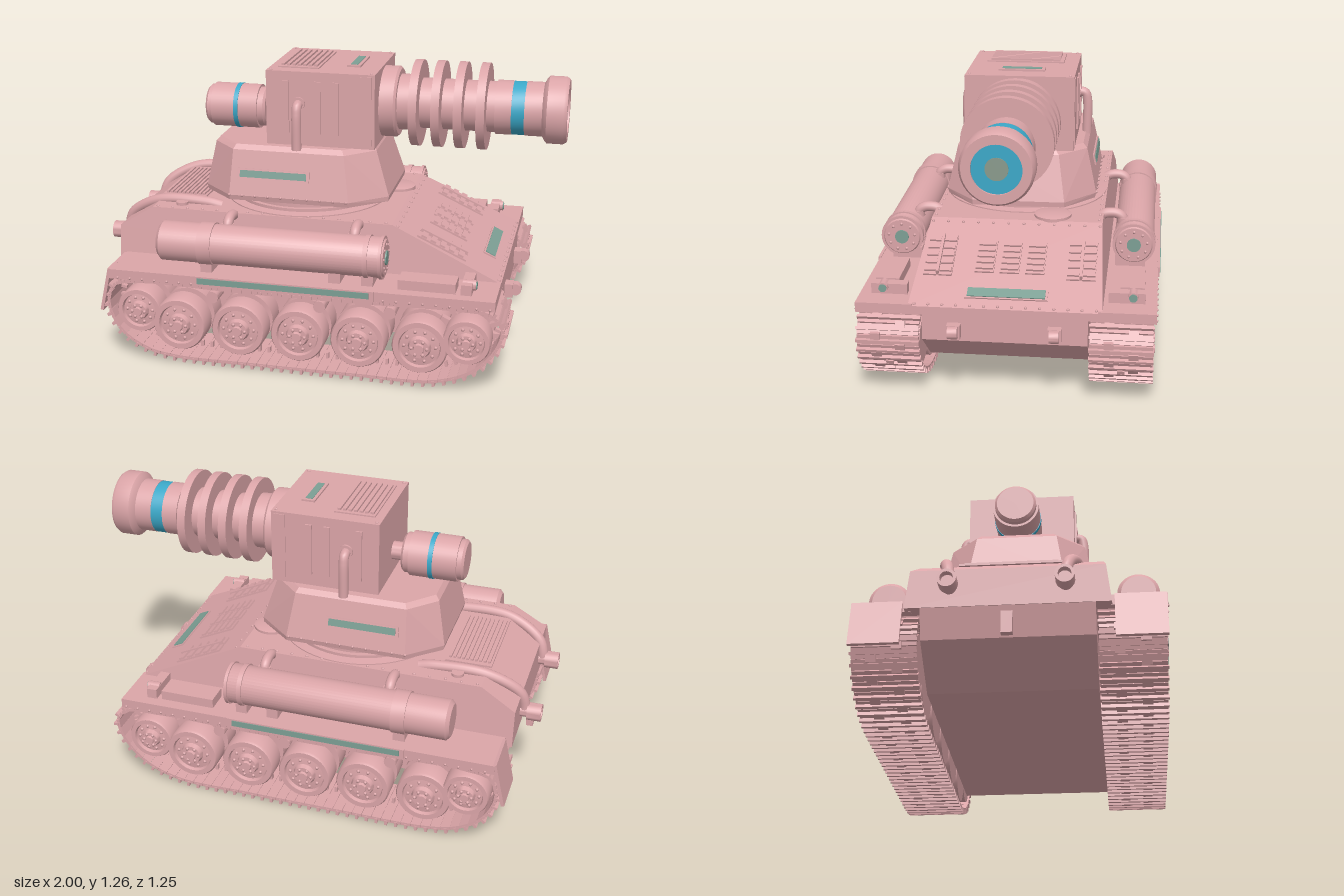
import * as THREE from 'three';
import { mergeGeometries, toCreasedNormals } from 'three/addons/utils/BufferGeometryUtils.js';
import { ConvexGeometry } from 'three/addons/geometries/ConvexGeometry.js';

const material = (name, color) => Object.assign(new THREE.MeshStandardMaterial({ color }), { name });
const pink = material('dusty pink armour', 0xdba5a8);
const blue = material('energy blue', 0x3ba8c8);
const green = material('grey green glass', 0x7c9f94);
const olive = material('lens core', 0x899a8c);

function add(parent, name, geo, mat = pink, x = 0, y = 0, z = 0) {
  const m = new THREE.Mesh(geo, mat);
  m.name = name;
  m.position.set(x, y, z);
  parent.add(m);
  return m;
}
const box = (parent, name, w, h, d, x, y, z, mat = pink) =>
  add(parent, name, new THREE.BoxGeometry(w, h, d), mat, x, y, z);

// Turned part: pairs of [position along axis, radius]
function turned(profile, axis = 'x', segs = 40) {
  const pts = profile.map(([a, r]) => new THREE.Vector2(r, a));
  const g = toCreasedNormals(new THREE.LatheGeometry(pts, segs), 0.6);
  if (axis === 'x') g.rotateZ(-Math.PI / 2);
  if (axis === 'z') g.rotateX(Math.PI / 2);
  return g;
}
const rod = (a, b, r, axis, segs) => turned([[a, 0], [a, r], [b, r], [b, 0]], axis, segs);

function pipe(parent, name, points, r) {
  const curve = new THREE.CatmullRomCurve3(points.map(p => new THREE.Vector3(...p)), false, 'centripetal');
  add(parent, name, new THREE.TubeGeometry(curve, 28, r, 14));
}

// Convex solid across z from a side profile; half(y) is the half width
function slab(profile, half) {
  return new ConvexGeometry(profile.flatMap(([x, y]) =>
    [1, -1].map(s => new THREE.Vector3(x, y, s * half(y)))));
}

// Small rivets, all merged
function rivets(parent, name, places, r = 0.007) {
  add(parent, name, mergeGeometries(places.map(p => new THREE.SphereGeometry(r, 6, 4).translate(...p))));
}
const row = (n, a, b, fn) => Array.from({ length: n }, (_, i) => fn(a + (b - a) * i / (n - 1)));

// Slatted grille lying in the xz plane; slats run along z, or along x when turned
function grille(parent, name, x, y, z, w, d, n, alongX = false) {
  const g = new THREE.Group();
  g.name = name;
  g.position.set(x, y, z);
  parent.add(g);
  box(g, 'grillePlate', w, 0.008, d, 0, 0, 0);
  for (let i = 0; i < n; i++) {
    const t = (i + 0.5) / n - 0.5;
    if (alongX) box(g, 'slat', w * 0.9, 0.014, d / n * 0.55, 0, 0.006, t * d * 0.94);
    else box(g, 'slat', w / n * 0.55, 0.014, d * 0.9, t * w * 0.94, 0.006, 0);
  }
}

function buildHull(root) {
  const hull = new THREE.Group();
  hull.name = 'hull';
  root.add(hull);
  add(hull, 'lowerHull', slab([[0.78, 0.38], [0.78, 0.26], [0.6, 0.115], [-0.66, 0.115], [-0.87, 0.25], [-0.91, 0.38]], () => 0.338));
  add(hull, 'upperHull', slab([[0.78, 0.37], [0.78, 0.405], [0.31, 0.622], [-0.76, 0.622], [-0.91, 0.53], [-0.91, 0.37]],
    y => 0.4 - (y - 0.37) * 0.12));
  // Sloped front plate details
  const glacis = new THREE.Group();
  glacis.name = 'frontPlate';
  glacis.position.set(0.545, 0.5135, 0);
  glacis.rotation.z = Math.atan2(-0.217, 0.47);
  hull.add(glacis);
  for (const z of [-0.105, 0, 0.105]) grille(glacis, 'frontVent', -0.03, 0.004, z, 0.18, 0.08, 5);
  for (const s of [1, -1]) {
    for (const z of [0.265, 0.33]) grille(glacis, 'outerVent', -0.03, 0.004, s * z, 0.23, 0.055, 5);
    box(glacis, 'ventBar', 0.22, 0.03, 0.012, -0.03, 0.008, s * 0.2975);
  }
  box(glacis, 'visionFrame', 0.06, 0.012, 0.34, 0.175, 0, 0);
  box(glacis, 'visionStrip', 0.046, 0.006, 0.32, 0.175, 0.007, 0, green);
  rivets(glacis, 'frontRivets', [...row(14, -0.37, 0.37, z => [0.245, 0, z]), ...row(12, -0.36, 0.36, z => [-0.235, 0, z])]);
  // Deck fittings
  add(hull, 'driverHatch', turned([[0.615, 0], [0.615, 0.08], [0.633, 0.08], [0.638, 0.065], [0.638, 0]], 'y'), pink, 0.24, 0, -0.15);
  grille(hull, 'engineGrille', -0.67, 0.626, 0, 0.2, 0.42, 10);
  rivets(hull, 'deckRivets', [1, -1].flatMap(s => row(16, -0.74, 0.28, x => [x, 0.622, s * 0.355])));
  box(hull, 'rearHitch', 0.03, 0.09, 0.045, -0.925, 0.285, 0);
  for (const s of [1, -1]) {
    add(hull, 'fillerCap', rod(0.61, 0.635, 0.027, 'y', 20), pink, -0.645, 0, s * 0.305);
    box(hull, 'towBlock', 0.04, 0.06, 0.055, 0.795, 0.31, s * 0.205);
    add(hull, 'towPin', rod(-0.02, 0.02, 0.026, 'z', 18), pink, 0.825, 0.315, s * 0.205);
    pipe(hull, 'exhaustPipe', [[-0.47, 0.615, s * 0.27], [-0.54, 0.628, s * 0.27], [-0.76, 0.622, s * 0.262],
      [-0.9, 0.545, s * 0.235], [-0.925, 0.48, s * 0.225], [-0.925, 0.44, s * 0.225]], 0.024);
    add(hull, 'exhaustOutlet', turned([[-0.9, 0], [-0.9, 0.027], [-0.94, 0.027], [-0.94, 0.038], [-1, 0.038], [-1, 0.026], [-0.97, 0.026], [-0.97, 0]].reverse(), 'x', 24), pink, 0, 0.45, s * 0.225);
  }
}

function buildSide(root, s) {
  const side = new THREE.Group();
  side.name = s > 0 ? 'leftSide' : 'rightSide';
  root.add(side);
  // Fender, rear flap and side glass strip
  box(side, 'fender', 1.66, 0.042, 0.235, -0.05, 0.39, s * 0.495);
  const flap = box(side, 'rearFlap', 0.014, 0.2, 0.2, -0.9, 0.315, s * 0.51);
  flap.rotation.z = -0.22;
  box(side, 'stripFrame', 0.78, 0.044, 0.012, -0.11, 0.392, s * 0.614);
  box(side, 'sideStrip', 0.74, 0.026, 0.004, -0.11, 0.395, s * 0.621, green);
  box(side, 'toolBox', 0.24, 0.045, 0.1, 0.49, 0.43, s * 0.51);
  box(side, 'lampBase', 0.045, 0.05, 0.15, 0.655, 0.43, s * 0.49);
  add(side, 'lamp', rod(-0.02, 0.035, 0.022, 'x', 18), pink, 0.655, 0.44, s * 0.515);
  add(side, 'lampGlass', rod(0, 0.004, 0.017, 'x', 18), green, 0.69, 0.44, s * 0.515);
  rivets(side, 'fenderRivets', row(30, -0.84, 0.76, x => [x, 0.376, s * 0.613]), 0.006);

  // Long tank on the fender
  const tank = new THREE.Group();
  tank.name = 'sideTank';
  tank.position.set(0, 0.525, s * 0.505);
  side.add(tank);
  add(tank, 'tankBody', turned([[-0.675, 0], [-0.675, 0.07], [-0.66, 0.086], [0.295, 0.086], [0.31, 0.076], [0.31, 0]]));
  for (const [a, b] of [[-0.49, -0.43], [0.225, 0.245], [0.29, 0.303]]) add(tank, 'tankBand', rod(a, b, 0.092));
  add(tank, 'tankEye', rod(0.309, 0.316, 0.03), green);
  rivets(tank, 'tankBolts', row(9, 0, Math.PI * 16 / 9, a => [0.31, Math.cos(a) * 0.058, Math.sin(a) * 0.058]));
  for (const x of [-0.46, 0.1, 0.24]) box(side, 'tankSaddle', 0.05, 0.06, 0.13, x, 0.43, s * 0.49);
  for (const x of [-0.39, 0.165]) {
    pipe(side, 'tankPipe', [[x, 0.605, s * 0.355], [x, 0.617, s * 0.38], [x, 0.617, s * 0.425], [x, 0.6, s * 0.45], [x, 0.55, s * 0.455]], 0.022);
    add(side, 'pipeCollar', rod(0.575, 0.6, 0.028, 'y', 18), pink, x, 0, s * 0.455);
  }

  // Track loop made of repeated links
  const path = new THREE.CatmullRomCurve3([[-0.6, 0.027], [-0.2, 0.022], [0.2, 0.022], [0.54, 0.03], [0.7, 0.095], [0.79, 0.2], [0.81, 0.29],
    [0.76, 0.345], [0.6, 0.36], [0.2, 0.355], [-0.3, 0.355], [-0.75, 0.36], [-0.86, 0.335], [-0.89, 0.25], [-0.84, 0.13], [-0.73, 0.055]]
    .map(([x, y]) => new THREE.Vector3(x, y, 0)), true);
  path.arcLengthDivisions = 600;
  const count = 86, links = [];
  for (let i = 0; i < count; i++) {
    const p = path.getPointAt(i / count), t = path.getTangentAt(i / count);
    const parts = [
      new THREE.BoxGeometry(0.042, 0.014, 0.255),
      new THREE.BoxGeometry(0.012, 0.022, 0.262).translate(0, -0.011, 0),
      new THREE.BoxGeometry(0.03, 0.022, 0.04).translate(0.02, -0.005, i % 2 ? 0.05 : -0.05),
      new THREE.BoxGeometry(0.012, 0.03, 0.02).translate(0, 0.018, 0)];
    links.push(...parts.map(g => g.rotateZ(Math.atan2(t.y, t.x)).translate(p.x, p.y, s * 0.474)));
  }
  add(side, 'track', mergeGeometries(links));

  // Road wheels, idler and drive sprocket
  const wheels = [[-0.58, 0.17, 0.118], [-0.315, 0.17, 0.118], [-0.053, 0.17, 0.118], [0.207, 0.17, 0.118], [0.47, 0.17, 0.118],
    [0.665, 0.21, 0.1], [-0.76, 0.22, 0.1]];
  wheels.forEach(([x, y, r], i) => {
    const w = new THREE.Group();
    w.name = i === 5 ? 'driveSprocket' : i === 6 ? 'idler' : 'roadWheel';
    w.position.set(x, y, s * 0.474);
    side.add(w);
    add(w, 'wheelDisc', turned([[-0.12, 0], [-0.12, r], [-0.02, r], [-0.02, r * 0.7], [0.02, r * 0.7], [0.02, r], [0.105, r], [0.115, r * 0.95], [0.115, r * 0.76],
      [0.1, r * 0.72], [0.105, r * 0.42], [0.125, r * 0.36], [0.125, r * 0.2], [0.135, r * 0.17], [0.135, 0]], 'z', 32)).rotation.y = s > 0 ? 0 : Math.PI;
    const ring = (n, rad, z) => Array.from({ length: n }, (_, k) =>
      [Math.cos(k * 2 * Math.PI / n) * rad, Math.sin(k * 2 * Math.PI / n) * rad, s * z]);
    rivets(w, 'wheelBolts', [...ring(10, r * 0.57, 0.103), ...ring(6, r * 0.28, 0.125)], 0.008);
    if (i === 5) add(w, 'sprocketTeeth', mergeGeometries(Array.from({ length: 14 }, (_, k) =>
      new THREE.BoxGeometry(0.04, 0.02, 0.03).translate(r + 0.015, 0, 0).rotateZ(k * Math.PI / 7))));
  });
  for (const x of [-0.43, 0.04, 0.34]) add(side, 'returnRoller', rod(-0.1, 0.1, 0.026, 'z', 16), pink, x, 0.305, s * 0.474);
}

function buildTurret(root) {
  const turret = new THREE.Group();
  turret.name = 'turret';
  root.add(turret);
  add(turret, 'turretRing', turned([[0.6, 0], [0.6, 0.365], [0.627, 0.365], [0.632, 0.325], [0.645, 0.325], [0.645, 0.305], [0.69, 0.305], [0.69, 0]], 'y', 56), pink, -0.145);
  // Eight-cornered body: [y, rear x, rear corner x, front corner x, front x, half width, rear half, front half]
  const levels = [[0.668, -0.555, -0.42, 0.11, 0.26, 0.325, 0.2, 0.2], [0.69, -0.56, -0.42, 0.11, 0.262, 0.33, 0.2, 0.2],
    [0.885, -0.522, -0.41, 0.08, 0.2, 0.286, 0.17, 0.17], [0.905, -0.505, -0.4, 0.07, 0.185, 0.268, 0.155, 0.155]];
  add(turret, 'turretBody', new ConvexGeometry(levels.flatMap(([y, a, b, c, d, w, r, f]) =>
    [1, -1].flatMap(s => [[a, r], [b, w], [c, w], [d, f]].map(([x, z]) => new THREE.Vector3(x, y, s * z))))));
  for (const s of [1, -1]) {
    const panel = new THREE.Group();
    panel.name = 'turretWindow';
    panel.position.set(-0.225, 0.785, s * 0.309);
    panel.rotation.x = -s * 0.22;
    turret.add(panel);
    box(panel, 'windowFrame', 0.32, 0.046, 0.014, 0, 0, 0);
    box(panel, 'windowGlass', 0.295, 0.03, 0.005, 0, 0, s * 0.008, green);
    rivets(turret, 'turretRivets', row(10, -0.42, 0.1, x => [x, 0.69, s * 0.33]));
  }

  // Gun housing with side slots, top grille and bent pipes
  box(turret, 'gunHousing', 0.475, 0.325, 0.468, -0.035, 1.0675, 0);
  grille(turret, 'roofGrille', -0.145, 1.232, 0, 0.18, 0.34, 7);
  box(turret, 'roofWindowFrame', 0.06, 0.012, 0.2, 0.083, 1.232, 0);
  box(turret, 'roofWindow', 0.032, 0.006, 0.17, 0.083, 1.237, 0, green);
  rivets(turret, 'roofRivets', [-0.255, 0.185].flatMap(x => [-0.215, 0.215].map(z => [x, 1.23, z])));
  for (const s of [1, -1]) {
    for (const x of [-0.185, -0.045, 0.035]) box(turret, 'sideRib', 0.028, 0.23, 0.012, x, 1.075, s * 0.236);
    box(turret, 'sideEdge', 0.05, 0.3, 0.006, 0.165, 1.07, s * 0.235);
    pipe(turret, 'sidePipe', [[-0.13, 0.895, s * 0.272], [-0.13, 1.05, s * 0.272], [-0.13, 1.082, s * 0.262], [-0.13, 1.09, s * 0.225]], 0.021);
    add(turret, 'pipeSocket', rod(-0.008, 0.008, 0.03, 'z', 20), pink, -0.13, 1.09, s * 0.236);
  }

  // Cannon
  const gun = new THREE.Group();
  gun.name = 'cannon';
  gun.position.y = 1.065;
  turret.add(gun);
  add(gun, 'mantlet', turned([[0.2, 0], [0.2, 0.155], [0.265, 0.155], [0.275, 0.145], [0.275, 0]], 'x', 48));
  add(gun, 'barrel', turned([[0.27, 0], [0.27, 0.122], [0.34, 0.122], [0.34, 0.11], [0.66, 0.11], [0.695, 0.11], [0.695, 0.117], [0.765, 0.117], [0.765, 0.1], [0.82, 0.1], [0.82, 0.117],
    [0.895, 0.117], [0.905, 0.135], [0.915, 0.145], [0.985, 0.145], [1, 0.135], [1, 0.098], [0.985, 0.098], [0.985, 0]], 'x', 48));
  for (const x of [0.353, 0.45, 0.546, 0.642]) add(gun, 'coolingRing', rod(x - 0.018, x + 0.018, 0.188, 'x', 56));
  add(gun, 'barrelBand', rod(0.765, 0.82, 0.1155, 'x', 48), blue);
  add(gun, 'lens', rod(0.984, 0.99, 0.098, 'x', 48), blue);
  add(gun, 'lensCore', rod(0.988, 0.994, 0.045, 'x', 32), olive);

  // Rear power cell
  const cell = new THREE.Group();
  cell.name = 'powerCell';
  cell.position.y = 1.008;
  turret.add(cell);
  add(cell, 'cellNeck', rod(-0.34, -0.26, 0.04, 'x', 24));
  add(cell, 'cellBody', turned([[-0.6, 0], [-0.6, 0.078], [-0.59, 0.088], [-0.57, 0.088], [-0.57, 0.098], [-0.36, 0.098], [-0.36, 0.088], [-0.335, 0.088], [-0.325, 0.078], [-0.325, 0]]));
  add(cell, 'cellBand', rod(-0.466, -0.446, 0.1005), blue);
}

export function createModel() {
  const root = new THREE.Group();
  root.name = 'cannonTank';
  buildHull(root);
  for (const s of [1, -1]) buildSide(root, s);
  buildTurret(root);
  return root;
}
